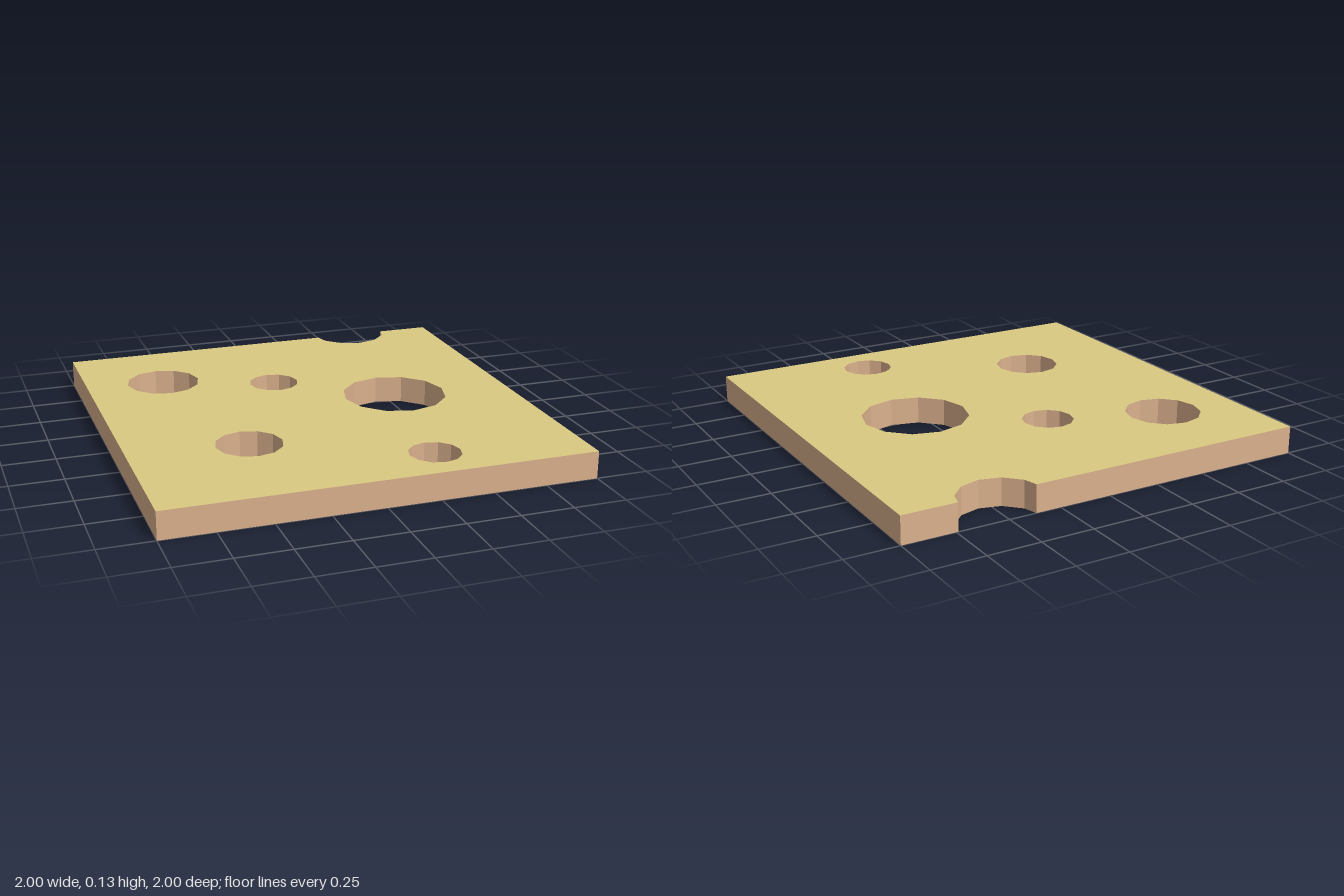
import * as THREE from 'three';

const THICKNESS = 0.13;
const SIDES = 12;

// Round holes: [x, z, radius]
const HOLES = [
  [-0.618, -0.537, 0.18],
  [-0.09, -0.352, 0.122],
  [0.425, 0, 0.254],
  [-0.442, 0.416, 0.157],
  [0.308, 0.777, 0.121],
];

// Point i of a twelve-sided ring; the shape's y is -z
function ringPoint(x, z, r, i) {
  const a = (i / SIDES) * Math.PI * 2;
  return new THREE.Vector2(x + r * Math.cos(a), -z + r * Math.sin(a));
}

export function createModel() {
  const group = new THREE.Group();
  group.name = 'cheeseSlice';

  // Square outline with a hole cut open by the back edge
  const notch = [];
  for (let i = 11; i >= 7; i--) notch.push(ringPoint(0.556, -1.03, 0.193, i));
  const outline = new THREE.Shape([
    new THREE.Vector2(-1, -1),
    new THREE.Vector2(1, -1),
    new THREE.Vector2(1, 1),
    new THREE.Vector2(0.741, 1),
    ...notch,
    new THREE.Vector2(0.371, 1),
    new THREE.Vector2(-1, 1),
  ]);

  // Holes through the slice
  for (const [x, z, r] of HOLES) {
    const points = [];
    for (let i = 0; i < SIDES; i++) points.push(ringPoint(x, z, r, i));
    outline.holes.push(new THREE.Path(points));
  }

  const geometry = new THREE.ExtrudeGeometry(outline, { depth: THICKNESS, bevelEnabled: false });
  geometry.rotateX(-Math.PI / 2);

  // Yellow faces, tan edges and hole walls
  const face = new THREE.MeshStandardMaterial({ color: 0xdbc981, flatShading: true });
  const edge = new THREE.MeshStandardMaterial({ color: 0xdbb18d, flatShading: true });
  const slice = new THREE.Mesh(geometry, [face, edge]);
  slice.name = 'slice';
  group.add(slice);

  return group;
}
